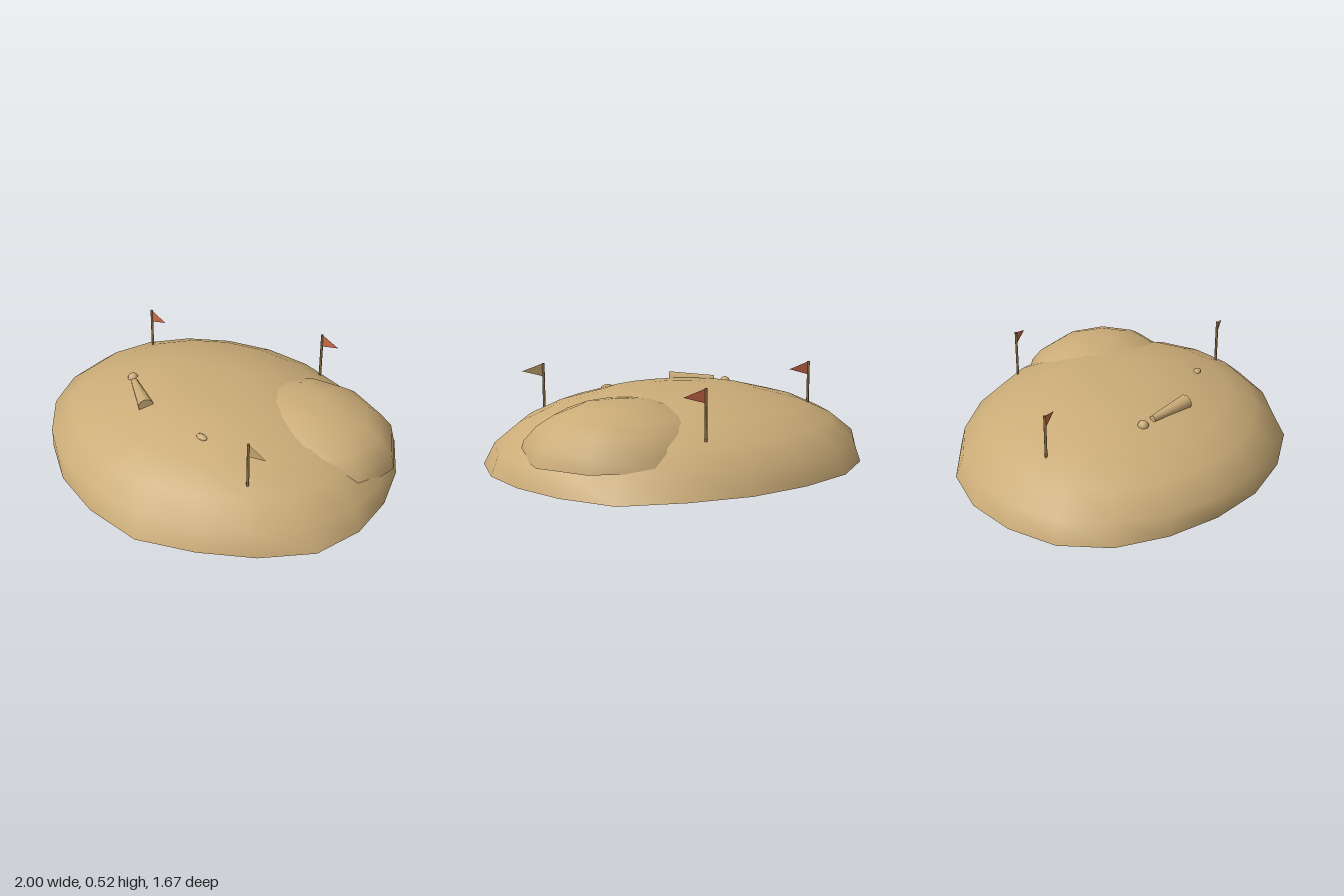
import * as THREE from 'three';
import { mergeVertices } from 'three/addons/utils/BufferGeometryUtils.js';

const paint = (name, color, double) => {
  const m = new THREE.MeshStandardMaterial({ color });
  m.name = name;
  if (double) m.side = THREE.DoubleSide;
  return m;
};

// Irregular rim, one factor per 18 degrees starting at the front
const RIM = [1, 1.028, 0.99, 0.995, 1.02, 1, 0.99, 1.014, 1.07, 1.013,
  1, 0.992, 1.01, 1, 0.99, 1, 0.99, 0.963, 0.96, 0.98];
// Dome cross-section: relative radius and relative height
const DOME = [[1, 0], [0.96, 0.29], [0.83, 0.56], [0.66, 0.76], [0.4, 0.94], [0.2, 0.985], [0, 1]];

function shell(profile, sides, rx, h, rz, uneven) {
  let g = new THREE.LatheGeometry(profile.map(([r, y]) => new THREE.Vector2(r, y)), sides);
  const p = g.attributes.position;
  for (let i = 0; i < p.count; i++) {
    const onRim = uneven && Math.hypot(p.getX(i), p.getZ(i)) > 0.99;
    const k = onRim ? RIM[Math.floor(i / profile.length) % sides] : 1;
    p.setXYZ(i, p.getX(i) * rx * k, p.getY(i) * h, p.getZ(i) * rz * k);
  }
  // Join the seam so that shading runs smoothly round the dome
  g.deleteAttribute('normal');
  g.deleteAttribute('uv');
  g = mergeVertices(g, 1e-4);
  g.computeVertexNormals();
  return g;
}

export function createModel() {
  const model = new THREE.Group();
  model.name = 'sandMound';
  const sand = paint('sand', 0xcbac78);
  const wood = paint('wood', 0x8f7044);
  const red = paint('red cloth', 0xcb6848, true);
  const tan = paint('tan cloth', 0xc2a46f, true);

  const add = (name, geo, mat, x = 0, y = 0, z = 0, parent = model) => {
    const m = new THREE.Mesh(geo, mat);
    m.name = name;
    m.position.set(x, y, z);
    parent.add(m);
    return m;
  };

  // Main mound with a shallow rounded underside
  const under = [[0, 0], [0.5, 0.3], [0.8, 0.66], [1, 1]];
  add('mound', shell(DOME, 20, 1, 0.38, 0.835, true), sand, 0, 0.04, 0);
  add('moundUnderside', shell(under, 20, 1, 0.04, 0.835, true), sand);

  // Smaller mound overlapping the back left
  add('sideMound', shell(DOME, 10, 0.49, 0.255, 0.43), sand, 0.42, 0.16, -0.25);
  add('sideMoundUnderside', shell(under, 10, 0.49, 0.015, 0.43), sand, 0.42, 0.145, -0.25);

  // Marker flags
  const pennant = new THREE.Shape([
    new THREE.Vector2(0, 0), new THREE.Vector2(0.115, 0.035), new THREE.Vector2(0, 0.07)]);
  const cloth = new THREE.ShapeGeometry(pennant);
  const pole = new THREE.CylinderGeometry(0.007, 0.007, 0.25, 6);
  for (const [x, z, mat] of [[-0.69, -0.155, red], [0.15, -0.64, red], [0.61, 0.365, tan]]) {
    const flag = new THREE.Group();
    flag.name = 'markerFlag';
    flag.position.set(x, 0.27, z);
    add('pole', pole, wood, 0, 0.125, 0, flag);
    add('pennant', cloth, mat, 0, 0.18, 0, flag);
    model.add(flag);
  }

  // Half-buried tapered log, lying on its side
  const from = new THREE.Vector3(-0.34, 0.388, 0.262);
  const to = new THREE.Vector3(-0.115, 0.385, 0.37);
  const dir = to.clone().sub(from);
  const log = add('buriedLog', new THREE.CylinderGeometry(0.04, 0.017, dir.length(), 10), sand);
  log.position.copy(from).add(to).multiplyScalar(0.5);
  log.quaternion.setFromUnitVectors(new THREE.Vector3(0, 1, 0), dir.normalize());

  // Small stones
  add('pebble', new THREE.SphereGeometry(0.028, 10, 8), sand, -0.39, 0.373, 0.23);
  add('shard', new THREE.SphereGeometry(1, 8, 6), sand, 0.265, 0.373, 0.338).scale.set(0.035, 0.014, 0.02);

  return model;
}
